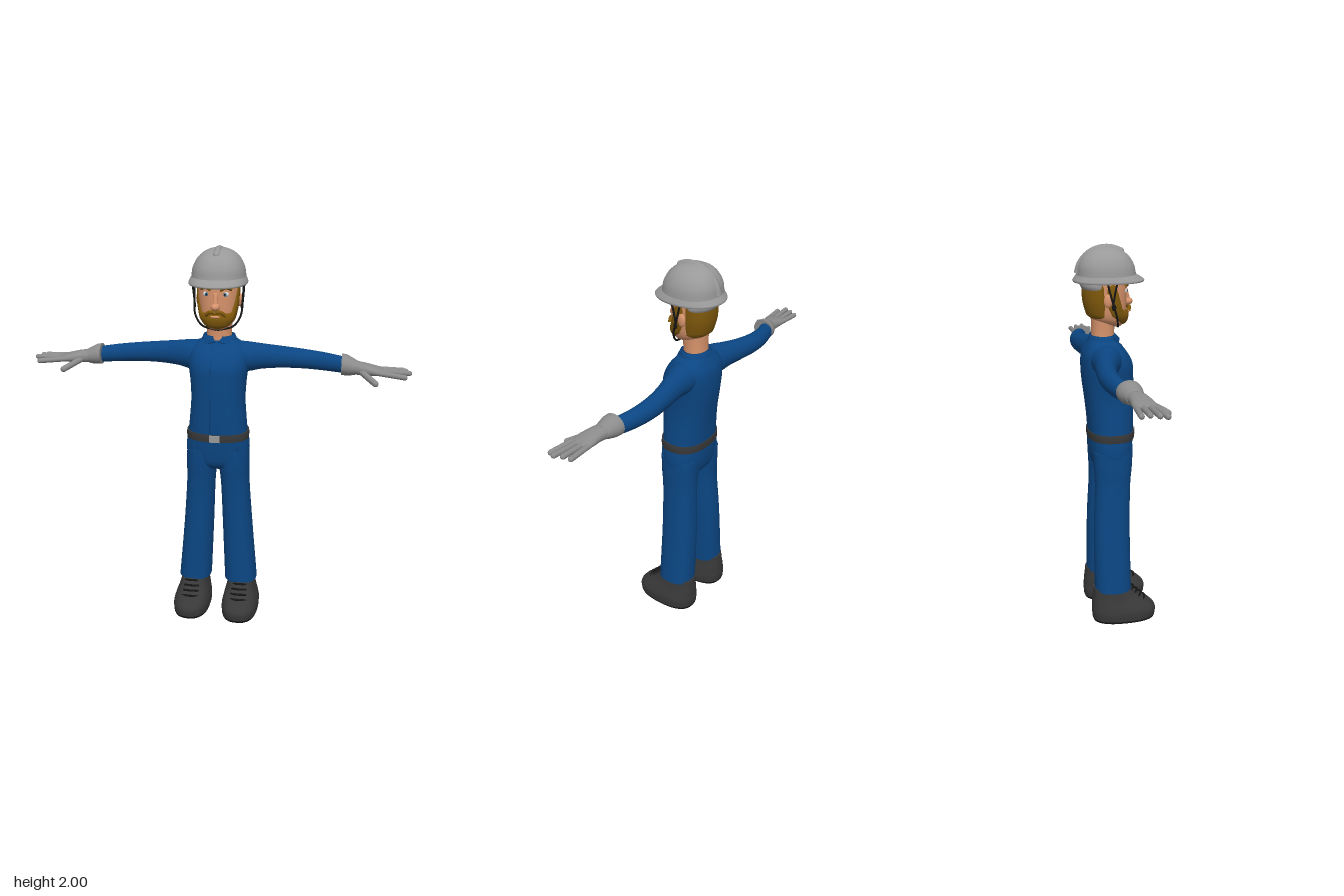
import * as THREE from 'three';
import { mergeVertices } from 'three/addons/utils/BufferGeometryUtils.js';

const V = (x, y, z) => new THREE.Vector3(x, y, z);
const flat = (name, color, side = THREE.FrontSide) => {
  const m = new THREE.MeshStandardMaterial({ color, side });
  m.name = name;
  return m;
};

// Rounded-square cosine or sine
const soft = (v, p) => Math.sign(v) * Math.abs(v) ** (2 / p);

// Catmull-Rom blend of four numbers
function blend(a, b, c, d, t) {
  const cubic = 3 * (b - c) + d - a;
  const square = 2 * a - 5 * b + 4 * c - d;
  return b + 0.5 * t * (c - a + t * (square + t * cubic));
}

// Smooth in-between cross-sections
function refine(rows, steps) {
  const out = [];
  for (let i = 0; i < rows.length - 1; i++) {
    const a = rows[Math.max(i - 1, 0)], b = rows[i], c = rows[i + 1], d = rows[Math.min(i + 2, rows.length - 1)];
    for (let k = 0; k < steps; k++) out.push(b.map((_, j) => blend(a[j], b[j], c[j], d[j], k / steps)));
  }
  out.push(rows[rows.length - 1]);
  return out;
}

// Grid of points turned into a smooth surface, optionally closed around
function surface(nu, nv, point, closed, flip) {
  const pos = [], idx = [];
  for (let i = 0; i < nu; i++) for (let j = 0; j < nv; j++) pos.push(...point(i, j));
  for (let i = 0; i < nu - 1; i++) for (let j = 0; j < (closed ? nv : nv - 1); j++) {
    const a = i * nv + j, b = i * nv + (j + 1) % nv, c = a + nv, d = b + nv;
    if (flip) idx.push(a, b, c, b, d, c);
    else idx.push(a, c, b, b, c, d);
  }
  const g = new THREE.BufferGeometry();
  g.setAttribute('position', new THREE.Float32BufferAttribute(pos, 3));
  g.setIndex(idx);
  g.computeVertexNormals();
  return g;
}

// Capped loft; each row is [distance, centreA, centreB, radiusA, radiusB]
function loft(rows, axis = 'y', p = 2.2) {
  const n = 36, r = refine(rows, 4), last = r[r.length - 1];
  const shut = (q) => [q[0], q[1], q[2], 0, 0];
  const all = [shut(r[0]), r[0], ...r, last, shut(last)];
  return surface(all.length, n, (i, j) => {
    const [t, ca, cb, ra, rb] = all[i], w = (j / n) * Math.PI * 2;
    const a = ca + ra * soft(Math.cos(w), p), b = cb + rb * soft(Math.sin(w), p);
    return axis === 'y' ? [a, t, b] : [t, a, b];
  }, true, axis === 'x');
}

const tube = (pts, r) => new THREE.TubeGeometry(new THREE.CatmullRomCurve3(pts), 24, r, 8);
const ball = (x, y, z, rx, ry, rz) => new THREE.SphereGeometry(1, 20, 14).scale(rx, ry, rz).translate(x, y, z);

// Rounded rod between two points
function rod(a, b, r) {
  const d = b.clone().sub(a);
  const g = new THREE.CapsuleGeometry(r, d.length(), 5, 12);
  g.applyQuaternion(new THREE.Quaternion().setFromUnitVectors(V(0, 1, 0), d.normalize()));
  const m = a.clone().add(b).multiplyScalar(0.5);
  return g.translate(m.x, m.y, m.z);
}

function mirrored(geo) {
  const g = geo.index ? geo.clone() : mergeVertices(geo);
  g.scale(-1, 1, 1);
  const ix = g.index.array;
  for (let i = 0; i < ix.length; i += 3) [ix[i], ix[i + 1]] = [ix[i + 1], ix[i]];
  return g;
}

// Head cross-sections, shared by the skull and everything that hugs it
const headRows = [[1.595, 0, 0, 0.04, 0.04], [1.615, 0, -0.015, 0.07, 0.07], [1.65, 0, -0.033, 0.09, 0.094],
  [1.72, 0, -0.037, 0.1, 0.102], [1.8, 0, -0.04, 0.105, 0.107], [1.86, 0, -0.04, 0.1, 0.105]];
function headAt(y) {
  let i = 0;
  while (i < headRows.length - 2 && y > headRows[i + 1][0]) i++;
  const a = headRows[i], b = headRows[i + 1], t = THREE.MathUtils.clamp((y - a[0]) / (b[0] - a[0]), 0, 1);
  return a.map((v, k) => v + (b[k] - v) * t);
}

// Padded patch on the head; angle 0 is the front
function headPatch(t0, t1, low, high, out) {
  const nu = 49, nv = 19;
  return surface(nu, nv, (i, j) => {
    const u = i / (nu - 1), v = j / (nv - 1), t = t0 + (t1 - t0) * u;
    const y = low(t) + (high(t) - low(t)) * v, h = headAt(y);
    const off = (out + 0.008) * Math.max(0, Math.sin(Math.PI * u) * Math.sin(Math.PI * v)) ** 0.35 - 0.008;
    return [(h[3] + off) * soft(Math.sin(t), 2.2), y, h[2] + (h[4] + off) * soft(Math.cos(t), 2.2)];
  }, false, false);
}

export function createModel() {
  const root = new THREE.Group();
  root.name = 'worker';
  const blue = flat('overall blue', 0x0b4683, THREE.DoubleSide);
  const skin = flat('skin', 0xd8946c);
  const hair = flat('hair brown', 0x80590c);
  const helmet = flat('helmet grey', 0x999999);
  const glove = flat('glove grey', 0x8b8b8b);
  const dark = flat('boot charcoal', 0x383838);
  const black = flat('black', 0x161616);
  const white = flat('eye white', 0xd8dcde);
  const iris = flat('iris blue', 0x4f7690);

  const add = (name, mat, geo) => {
    const m = new THREE.Mesh(geo, mat);
    m.name = name;
    root.add(m);
  };
  const pair = (name, mat, geo) => {
    add(name + 'Left', mat, geo);
    add(name + 'Right', mat, mirrored(geo));
  };

  // Torso, hips and belt
  add('torso', blue, loft([[1.02, 0, -0.018, 0.158, 0.115], [1.12, 0, -0.02, 0.148, 0.12], [1.22, 0, -0.025, 0.141, 0.126],
    [1.32, 0, -0.032, 0.146, 0.132], [1.4, 0, -0.037, 0.156, 0.131], [1.46, 0, -0.048, 0.152, 0.115],
    [1.5, 0, -0.055, 0.13, 0.09], [1.53, 0, -0.058, 0.085, 0.07]], 'y', 2.4));
  add('hips', blue, loft([[0.845, 0, -0.02, 0.1, 0.075], [0.88, 0, -0.02, 0.155, 0.1], [0.95, 0, -0.021, 0.168, 0.112],
    [1.03, 0, -0.018, 0.16, 0.116]], 'y', 2.4));
  add('belt', dark, loft([[1.01, 0, -0.018, 0.164, 0.121], [1.03, 0, -0.018, 0.165, 0.122], [1.05, 0, -0.018, 0.163, 0.121]], 'y', 2.4));
  add('buckle', helmet, new THREE.BoxGeometry(0.055, 0.036, 0.009).translate(0, 1.03, 0.106));
  add('placket', blue, tube([V(-0.022, 1.05, 0.099), V(-0.022, 1.22, 0.1), V(-0.022, 1.32, 0.099), V(-0.022, 1.41, 0.091), V(-0.02, 1.5, 0.034)], 0.003));
  pair('pocketFlap', blue, new THREE.BoxGeometry(0.05, 0.05, 0.008).rotateY(0.75).translate(0.133, 0.965, 0.058));

  // Collar, open at the throat
  const profile = [[0.098, 1.49], [0.1, 1.512], [0.084, 1.552], [0.07, 1.55], [0.068, 1.52]];
  add('collar', blue, new THREE.LatheGeometry(profile.map(([x, y]) => new THREE.Vector2(x, y)), 36, 0.3, Math.PI * 2 - 0.6)
    .scale(0.97, 1, 0.8).translate(0, 0, -0.056));
  const flap = new THREE.Shape([[0.004, 1.525], [0.035, 1.553], [0.078, 1.545], [0.066, 1.505]].map(([x, y]) => new THREE.Vector2(x, y)));
  pair('collarFlap', blue, new THREE.ExtrudeGeometry(flap, { depth: 0.008, bevelEnabled: false })
    .translate(0, -1.53, 0).rotateX(-0.5).rotateY(0.45).translate(0, 1.53, 0.026));

  // Legs and boots
  pair('leg', blue, loft([[0.175, 0.128, -0.028, 0.088, 0.098], [0.5, 0.107, -0.03, 0.08, 0.096], [0.75, 0.093, -0.023, 0.076, 0.093],
    [0.86, 0.086, -0.02, 0.082, 0.1], [0.95, 0.08, -0.02, 0.085, 0.105]], 'y', 2.3));
  pair('boot', dark, loft([[0.008, 0.135, 0.03, 0.098, 0.17], [0.05, 0.135, 0.03, 0.1, 0.175], [0.08, 0.134, 0.02, 0.094, 0.163],
    [0.11, 0.132, 0, 0.085, 0.142], [0.14, 0.131, -0.018, 0.077, 0.12], [0.185, 0.13, -0.034, 0.07, 0.1]], 'y', 2.5));
  pair('sole', black, loft([[0, 0.135, 0.03, 0.095, 0.168], [0.012, 0.135, 0.03, 0.099, 0.172]], 'y', 2.5));
  for (let i = 0; i < 4; i++) {
    const y = 0.108 + i * 0.021, z = 0.143 - i * 0.021, w = 0.046 - i * 0.003;
    pair('lace' + (i + 1), black, tube([V(0.133 - w, y - 0.004, z - 0.016), V(0.133, y + 0.005, z + 0.003), V(0.133 + w, y - 0.004, z - 0.016)], 0.006));
  }

  // Arms and gloves
  pair('arm', blue, loft([[0.06, 1.44, -0.055, 0.08, 0.085], [0.15, 1.437, -0.062, 0.077, 0.074], [0.22, 1.437, -0.078, 0.066, 0.06],
    [0.32, 1.432, -0.098, 0.057, 0.05], [0.43, 1.425, -0.107, 0.051, 0.046], [0.54, 1.418, -0.097, 0.047, 0.042],
    [0.645, 1.412, -0.068, 0.042, 0.04]], 'x', 2));
  pair('cuff', glove, loft([[0.63, 1.418, -0.058, 0.054, 0.06], [0.655, 1.416, -0.055, 0.053, 0.058],
    [0.685, 1.411, -0.049, 0.044, 0.049], [0.71, 1.408, -0.045, 0.034, 0.042]], 'x', 2));
  pair('palm', glove, loft([[0.69, 1.408, -0.045, 0.034, 0.042], [0.74, 1.406, -0.034, 0.032, 0.046], [0.79, 1.402, -0.028, 0.025, 0.054],
    [0.83, 1.399, -0.026, 0.017, 0.055], [0.845, 1.398, -0.025, 0.01, 0.05]], 'x'));
  [[-0.068, 0.938, 1.396, -0.073], [-0.04, 0.95, 1.402, -0.038], [-0.01, 0.967, 1.402, 0], [0.016, 0.945, 1.39, 0.04]]
    .forEach(([z0, x, y, z], i) => pair('finger' + (i + 1), glove, rod(V(0.81, 1.4, z0), V(x, y, z), 0.0135)));
  pair('thumb', glove, rod(V(0.735, 1.395, 0), V(0.803, 1.362, 0.077), 0.016));

  // Head, neck and face
  add('neck', skin, loft([[1.5, 0, -0.057, 0.066, 0.06], [1.57, 0, -0.055, 0.064, 0.058], [1.66, 0, -0.05, 0.07, 0.065]]));
  add('head', skin, loft(headRows));
  add('nose', skin, ball(0, 1.716, 0.072, 0.023, 0.02, 0.028));
  add('noseBridge', skin, rod(V(0, 1.725, 0.076), V(0, 1.775, 0.062), 0.012));
  pair('ear', skin, ball(0.106, 1.735, -0.047, 0.012, 0.034, 0.022));
  pair('eye', white, ball(0.046, 1.777, 0.049, 0.019, 0.015, 0.013));
  pair('iris', iris, ball(0.046, 1.777, 0.058, 0.0095, 0.0095, 0.006));
  pair('pupil', black, ball(0.046, 1.777, 0.0625, 0.0045, 0.0045, 0.003));
  pair('eyebrow', hair, tube([V(0.022, 1.799, 0.066), V(0.05, 1.811, 0.06), V(0.076, 1.8, 0.04)], 0.008));

  // Beard, moustache, mouth and hair
  const rise = (t) => THREE.MathUtils.smoothstep(Math.abs(t), 0.8, 1.4);
  add('beard', hair, headPatch(-1.72, 1.72, (t) => 1.597 + 0.075 * (Math.abs(t) / 1.72) ** 3, (t) => 1.685 + 0.14 * rise(t), 0.016));
  pair('moustache', hair, tube([V(0, 1.69, 0.078), V(0.028, 1.69, 0.077), V(0.052, 1.672, 0.066)], 0.01));
  add('mouth', skin, ball(0, 1.667, 0.077, 0.026, 0.006, 0.006));
  add('hair', hair, headPatch(Math.PI - 1.4, Math.PI + 1.4, () => 1.63, () => 1.835, 0.017));

  // Hard hat with brim, ridge, head band and chin strap
  add('helmetDome', helmet, loft([[1.83, 0, -0.035, 0.138, 0.155], [1.86, 0, -0.037, 0.136, 0.149], [1.9, 0, -0.039, 0.129, 0.142],
    [1.94, 0, -0.041, 0.109, 0.121], [1.97, 0, -0.044, 0.078, 0.088], [1.987, 0, -0.046, 0.04, 0.048], [1.992, 0, -0.047, 0.01, 0.012]]));
  add('helmetBrim', helmet, loft([[1.82, 0, -0.025, 0.146, 0.178], [1.828, 0, -0.025, 0.148, 0.18], [1.84, 0, -0.029, 0.143, 0.168],
    [1.855, 0, -0.036, 0.136, 0.15]]));
  add('helmetRidge', helmet, tube([V(0, 1.965, 0.035), V(0, 1.98, -0.01), V(0, 1.98, -0.065), V(0, 1.958, -0.12), V(0, 1.91, -0.164), V(0, 1.86, -0.18)], 0.02));
  add('ridgeFront', helmet, ball(0, 1.965, 0.035, 0.02, 0.02, 0.02));
  add('headBand', helmet, headPatch(Math.PI - 1.3, Math.PI + 1.3, () => 1.775, () => 1.85, 0.022));
  pair('chinStrap', black, tube([V(0.128, 1.83, -0.055), V(0.124, 1.74, -0.03), V(0.116, 1.66, -0.005), V(0.08, 1.608, 0.008), V(0, 1.588, 0.022)], 0.005));
  pair('frontStrap', black, tube([V(0.13, 1.83, -0.005), V(0.127, 1.78, -0.015), V(0.122, 1.72, -0.024)], 0.005));
  pair('strapClip', black, ball(0.121, 1.705, -0.02, 0.007, 0.016, 0.011));
  return root;
}
